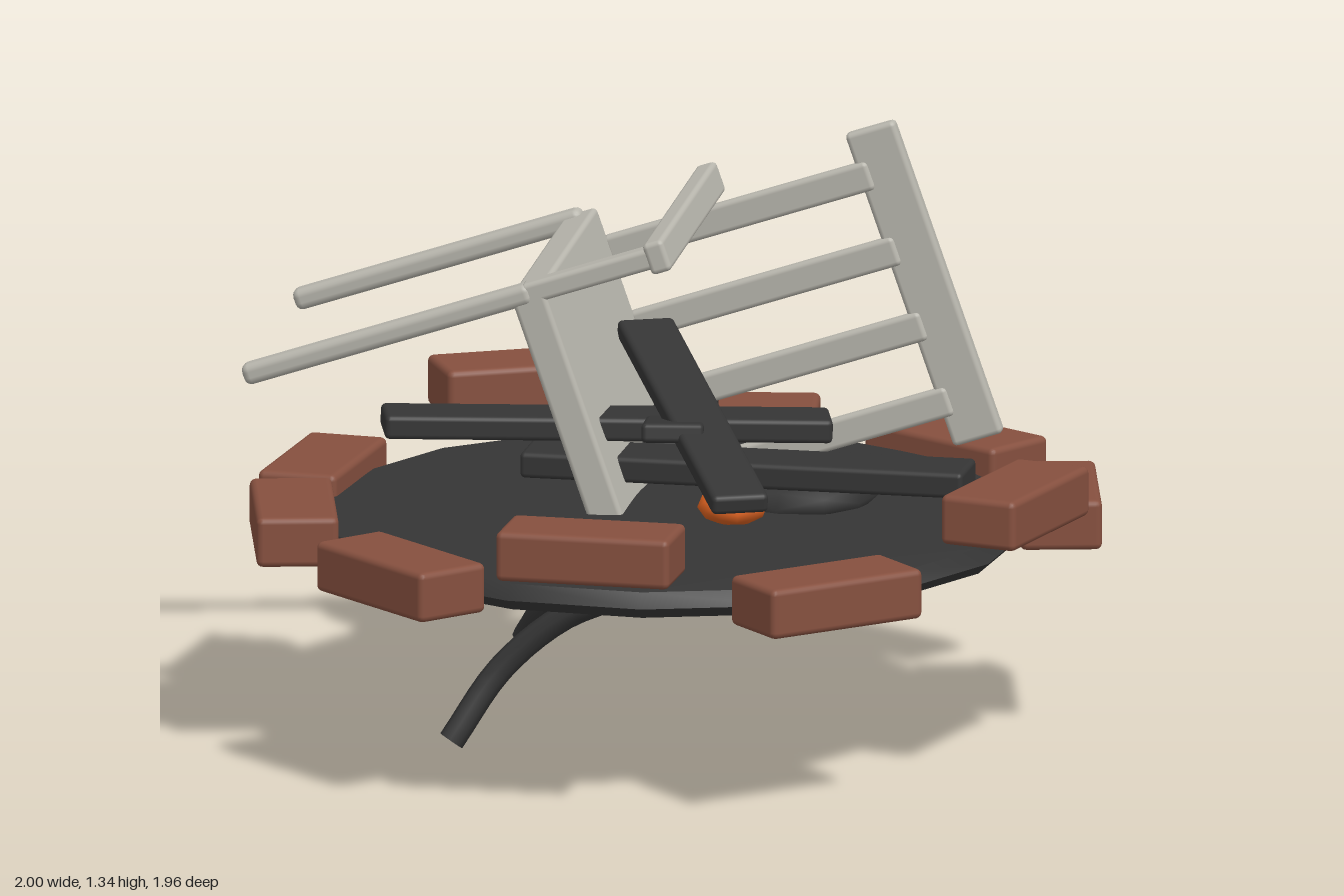
import * as THREE from 'three';
import { toCreasedNormals } from 'three/addons/utils/BufferGeometryUtils.js';
import { RoundedBoxGeometry } from 'three/addons/geometries/RoundedBoxGeometry.js';

const mat = (name, color) => Object.assign(new THREE.MeshStandardMaterial({ color }), { name });
const V = (x, y, z) => new THREE.Vector3(x, y, z);

export function createModel() {
  const brick = mat('brick', 0x86503f);
  const char = mat('charcoal', 0x353535);
  const wood = mat('bleachedWood', 0xb9b7ae);
  const ember = mat('ember', 0xd9601f);
  const model = new THREE.Group();

  const add = (parent, name, geometry, material) => {
    const mesh = new THREE.Mesh(geometry, material);
    mesh.name = name;
    parent.add(mesh);
    return mesh;
  };
  const box = (parent, name, size, pos, material, bevel = 0.012) => {
    const mesh = add(parent, name, new RoundedBoxGeometry(...size, 2, bevel), material);
    mesh.position.set(...pos);
    return mesh;
  };

  // Shallow ash bed
  const profile = [[0, 0.475], [0.78, 0.475], [0.805, 0.5], [0.785, 0.535], [0, 0.575]]
    .map(([r, y]) => new THREE.Vector2(r, y));
  const bed = add(model, 'ashBed', toCreasedNormals(new THREE.LatheGeometry(profile, 16), 0.4), char);
  bed.position.set(0.02, 0, -0.01);

  // Ring of bricks: x, z, direction of the long side (dx, dz), raised or not
  const bricks = [
    [-0.245, -0.83, 66, -30, 0], [0.33, -0.82, 69, 20, 0], [0.76, -0.48, 36, 64, 0],
    [0.89, -0.015, 2, 73, 1], [0.695, 0.535, -36, 60, 0], [0.245, 0.82, 71, -18, 1],
    [-0.245, 0.8, 65, 32, 0], [-0.695, 0.445, 36, 64, 0], [-0.83, 0.04, 12, 69, 0],
    [-0.63, -0.56, 52, -48, 1],
  ];
  for (const [x, z, dx, dz, raised] of bricks) {
    const b = box(model, 'brick', [0.4, 0.115, 0.185], [x, raised ? 0.642 : 0.527, z], brick, 0.015);
    b.rotation.y = Math.atan2(-dz, dx);
  }

  // Charred planks, each laid between two points
  const plank = (a, b, width, thick) => {
    const along = b.clone().sub(a);
    const mesh = box(model, 'charredPlank', [along.length(), thick, width], [0, 0, 0], char);
    mesh.position.copy(a).add(b).multiplyScalar(0.5);
    const x = along.normalize();
    const z = x.clone().cross(V(0, 1, 0)).normalize();
    mesh.quaternion.setFromRotationMatrix(new THREE.Matrix4().makeBasis(x, z.clone().cross(x), z));
  };
  plank(V(-0.18, 0.88, -0.28), V(0.46, 0.705, 0.5), 0.13, 0.045);
  plank(V(-0.53, 0.755, 0.33), V(0.33, 0.725, -0.2), 0.14, 0.055);
  plank(V(-0.3, 0.64, 0.07), V(0.68, 0.64, -0.2), 0.16, 0.06);
  plank(V(-0.24, 0.62, -0.61), V(0.17, 0.79, 0.27), 0.14, 0.045);

  // Faceted lumps: coals and glowing embers
  const lump = (name, size, pos, material, turn) => {
    const mesh = add(model, name, new THREE.IcosahedronGeometry(1, 1), material);
    mesh.scale.set(...size);
    mesh.position.set(...pos);
    mesh.rotation.y = turn;
  };
  lump('coal', [0.2, 0.06, 0.21], [0.24, 0.57, -0.19], char, 0.3);
  lump('coal', [0.14, 0.07, 0.12], [-0.1, 0.6, -0.24], char, 0.8);
  lump('ember', [0.1, 0.035, 0.07], [-0.08, 0.675, -0.28], ember, 0.2);
  lump('ember', [0.08, 0.04, 0.095], [0.23, 0.59, 0.09], ember, 0.6);

  // Overturned chair. Local x runs across the seat, y up its back, z from front to back
  const chair = new THREE.Group();
  chair.name = 'chair';
  model.add(chair);
  const up = V(0.913, 0.321, -0.251).normalize();
  const side = V(0.276, -0.953, -0.124);
  side.addScaledVector(up, -side.dot(up)).normalize();
  const back = side.clone().cross(up).negate();
  // The side axis is reversed to keep the frame right-handed
  chair.quaternion.setFromRotationMatrix(new THREE.Matrix4().makeBasis(side.clone().negate(), up, back));
  chair.position.set(-0.2, 1.07, 0.26);

  box(chair, 'seat', [0.76, 0.08, 0.66], [-0.37, 0, 0.32], wood);
  box(chair, 'headRail', [0.76, 0.12, 0.035], [-0.37, 0.7, 0.66], wood);
  for (let i = 0; i < 4; i++) {
    box(chair, 'backSlat', [0.07, 0.64, 0.03], [-0.095 - i * 0.183, 0.35, 0.65], wood);
  }
  for (const x of [0, -0.74]) {
    box(chair, 'armPost', [0.05, 0.33, 0.05], [x, 0.155, 0.015], wood);
    box(chair, 'armRest', [0.075, 0.05, 0.66], [x, 0.315, 0.315], wood);
  }
  for (const z of [0.01, 0.625]) {
    box(chair, 'leg', [0.05, 0.7, 0.05], [0, -0.34, z], wood, 0.018);
  }

  // Burnt chair legs sagging below the bed
  const burntLegs = [
    [V(0, 0.38, 0.17), V(-0.15, 0.31, 0.19), V(-0.28, 0.19, 0.235), V(-0.365, 0.03, 0.315)],
    [V(-0.14, 0.42, -0.44), V(-0.33, 0.32, -0.39), V(-0.46, 0.21, -0.38), V(-0.565, 0.085, -0.44)],
  ];
  for (const points of burntLegs) {
    const curve = new THREE.CatmullRomCurve3(points);
    add(model, 'burntLeg', new THREE.TubeGeometry(curve, 14, 0.03, 8), char);
    const cap = add(model, 'burntLegEnd', new THREE.CircleGeometry(0.03, 8), char);
    cap.position.copy(curve.getPoint(1));
    cap.quaternion.setFromUnitVectors(V(0, 0, 1), curve.getTangent(1));
  }

  return model;
}
